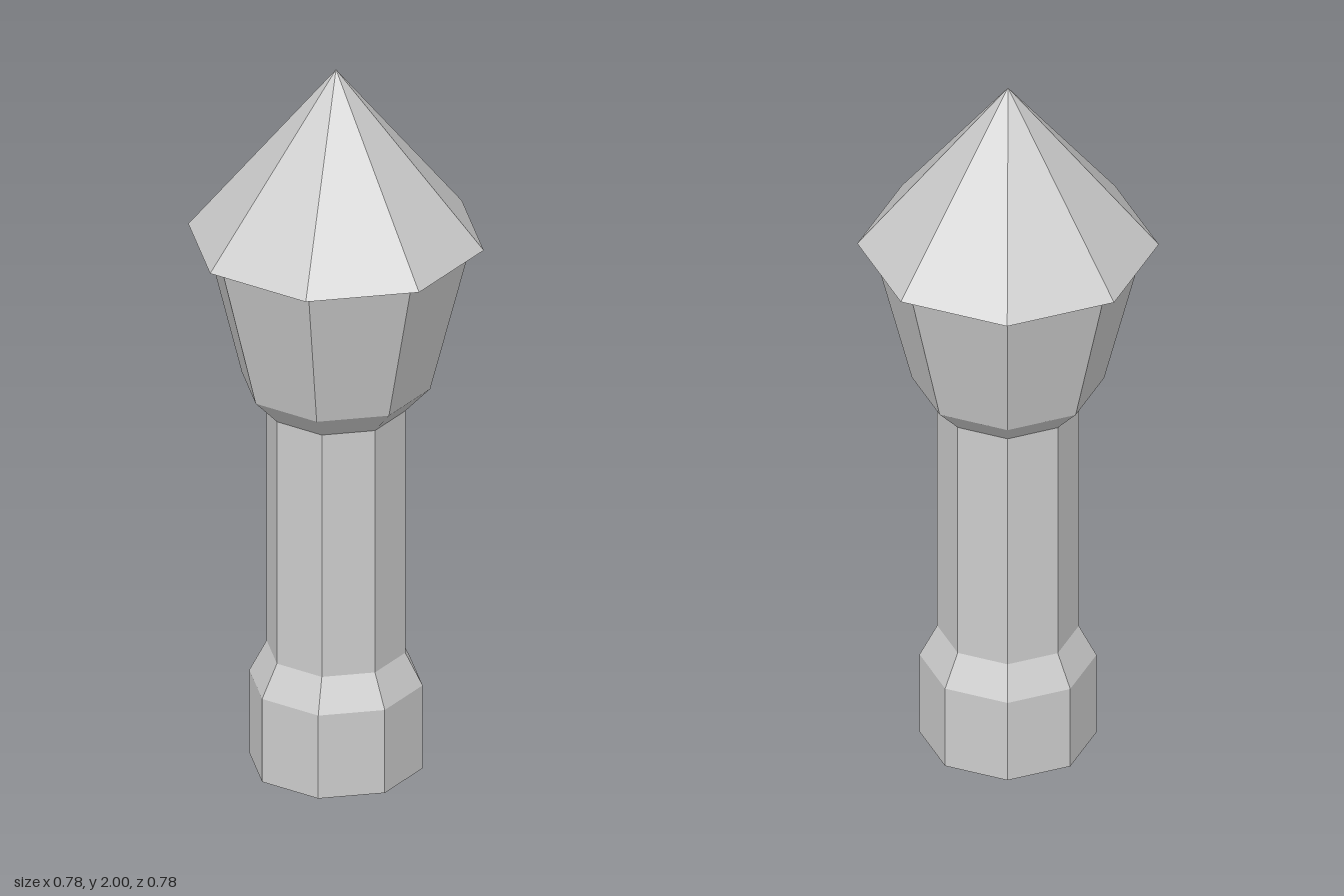
import * as THREE from 'three';

const SIDES = 8;

export function createModel() {
  const group = new THREE.Group();
  group.name = 'lampPost';
  const grey = new THREE.MeshStandardMaterial({ color: 0xcccccc, flatShading: true });
  grey.name = 'light grey';

  // One octagonal section between two heights; corners lie on the x and z axes
  const section = (name, y0, y1, r0, r1, open = true) => {
    const geometry = new THREE.CylinderGeometry(r1, r0, y1 - y0, SIDES, 1, open);
    const mesh = new THREE.Mesh(geometry, grey);
    mesh.name = name;
    mesh.position.y = (y0 + y1) / 2;
    group.add(mesh);
  };

  section('base', 0, 0.24, 0.23, 0.23, false);
  section('baseShoulder', 0.24, 0.33, 0.23, 0.184);
  section('shaft', 0.33, 1.03, 0.184, 0.184);
  section('lanternCollar', 1.03, 1.1, 0.184, 0.25);
  section('lanternBody', 1.1, 1.515, 0.25, 0.355);

  // Pointed roof with a flat underside overhanging the lantern
  const roof = new THREE.Mesh(new THREE.ConeGeometry(0.392, 0.485, SIDES), grey);
  roof.name = 'roof';
  roof.position.y = 1.515 + 0.485 / 2;
  group.add(roof);

  return group;
}
